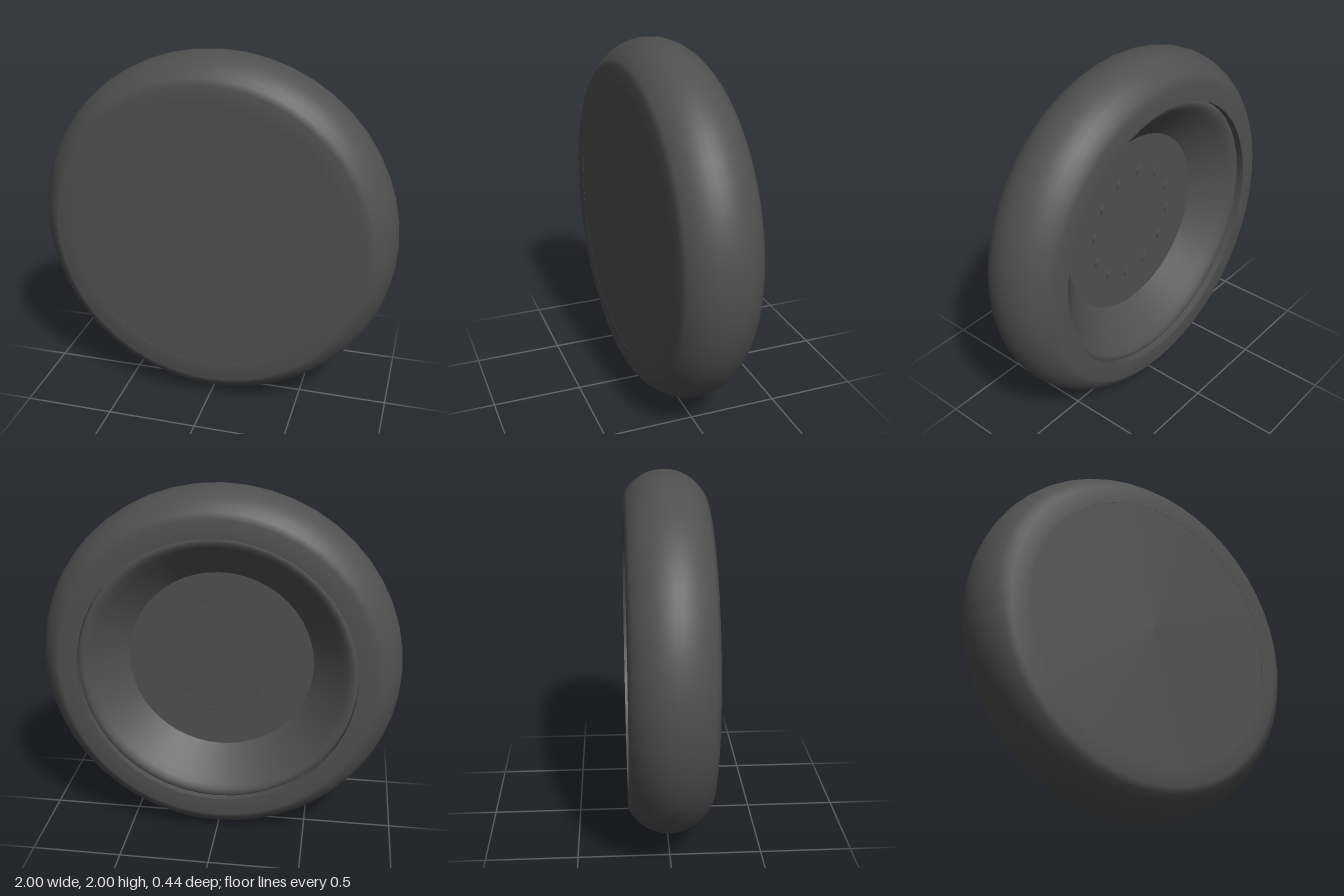
import * as THREE from 'three';

const RADIUS = 1, HALF_WIDTH = 0.22, SIDES = 48;
const SHOULDER = 0.865;   // where the rounded tread meets the flat sidewall
const OPENING = 0.765;    // inner edge of the sidewall
const HUB_RADIUS = 0.52;

const rubber = new THREE.MeshStandardMaterial({ color: 0x505050, side: THREE.DoubleSide });

// Turns a profile of [radius, z] points around the z axis
function turned(name, points, parent) {
  const geometry = new THREE.LatheGeometry(points.map(([r, z]) => new THREE.Vector2(r, z)), SIDES);
  geometry.rotateX(Math.PI / 2);
  return add(name, geometry, parent);
}

function add(name, geometry, parent) {
  const mesh = new THREE.Mesh(geometry, rubber);
  mesh.name = name;
  parent.add(mesh);
  return mesh;
}

export function createModel() {
  const model = new THREE.Group();
  model.name = 'wheel';
  const wheel = new THREE.Group();
  wheel.name = 'wheelAssembly';
  wheel.position.y = RADIUS;
  model.add(wheel);

  // Tyre: flat sidewalls joined by a circular-arc tread
  const drop = RADIUS - SHOULDER;
  const arcRadius = (HALF_WIDTH ** 2 + drop ** 2) / (2 * drop);
  const arcEnd = Math.asin(HALF_WIDTH / arcRadius);
  const tyre = [[OPENING, -HALF_WIDTH]];
  for (let i = 0; i <= 14; i++) {
    const a = arcEnd * (i / 7 - 1);
    tyre.push([RADIUS - arcRadius + arcRadius * Math.cos(a), arcRadius * Math.sin(a)]);
  }
  tyre.push([OPENING, HALF_WIDTH]);
  turned('tyre', tyre, wheel);

  // Short inner wall between the back sidewall and the rim
  turned('tyreBead', [[OPENING, -0.175], [OPENING, -HALF_WIDTH]], wheel);

  // Flat cover closing the front
  add('frontCover', new THREE.CircleGeometry(OPENING, SIDES), wheel).position.z = HALF_WIDTH - 0.001;

  // Dished rim at the back with a rounded lip
  turned('rim', [
    [HUB_RADIUS, 0], [0.575, -0.05], [0.63, -0.1], [0.675, -0.14],
    [0.705, -0.168], [0.73, -0.184], [0.75, -0.187], [OPENING, -0.178],
  ], wheel);

  // Hub plate at the bottom of the dish
  const hub = add('hubPlate', new THREE.CircleGeometry(HUB_RADIUS, SIDES), wheel);
  hub.rotation.y = Math.PI;

  // Ring of low bolts on the hub plate
  const bolts = new THREE.Group();
  bolts.name = 'bolts';
  wheel.add(bolts);
  const boltGeometry = new THREE.CylinderGeometry(0.027, 0.027, 0.012, 8).rotateX(Math.PI / 2);
  for (let i = 0; i < 12; i++) {
    const a = THREE.MathUtils.degToRad(10 + i * 30);
    add('bolt', boltGeometry, bolts).position.set(0.315 * Math.cos(a), 0.315 * Math.sin(a), -0.003);
  }
  return model;
}
